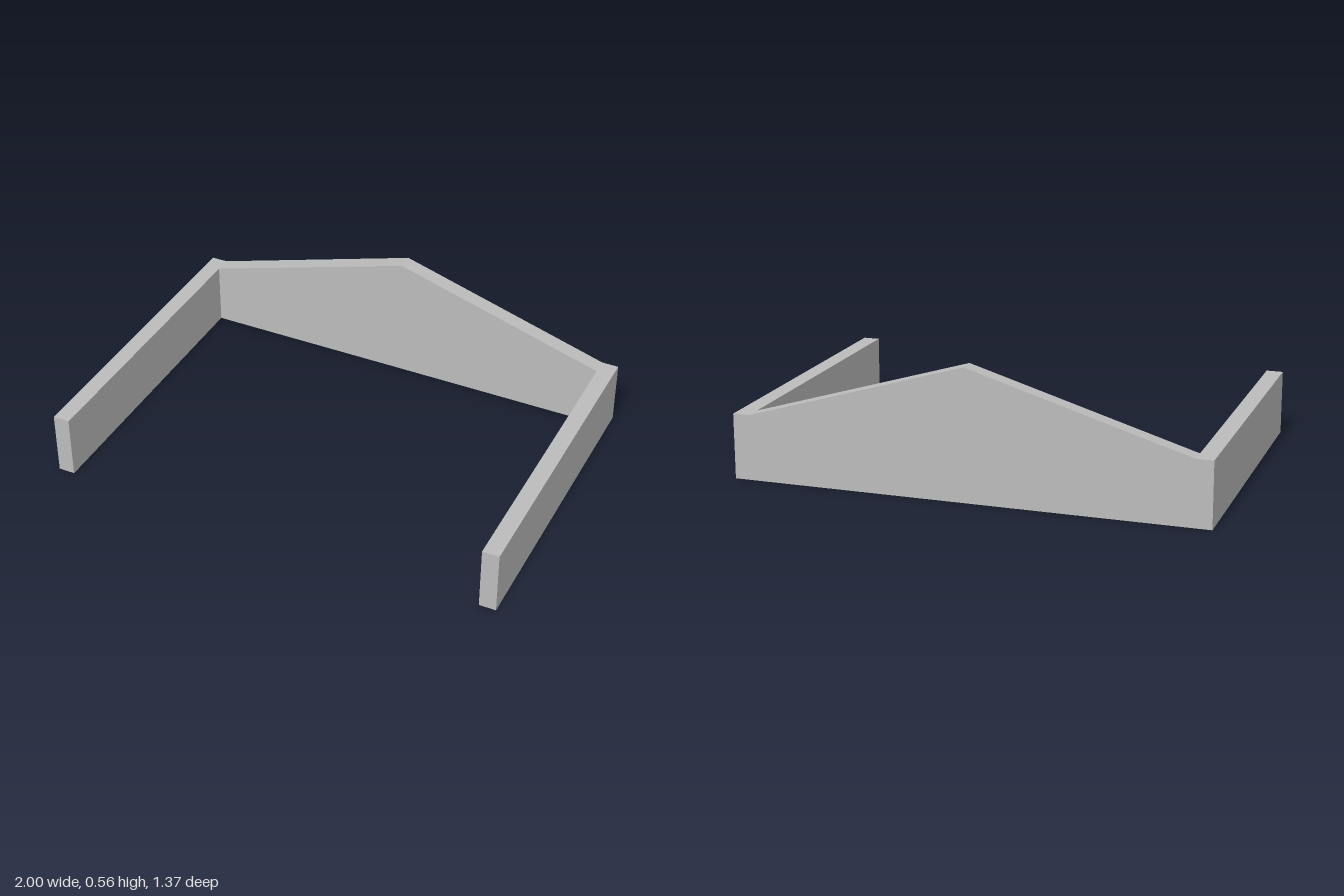
import * as THREE from 'three';

export function createModel() {
  const model = new THREE.Group();
  model.name = 'gabledEnclosure';

  // The walls are hollow shells with an open underside
  const grey = new THREE.MeshStandardMaterial({ color: 0xbcbcbc, side: THREE.DoubleSide });
  grey.name = 'plain grey';

  const X = 1, XI = 0.928;        // outer and inner half widths
  const Z = 0.683, ZI = -0.611;   // outer depth, front of the gable wall
  const EAVE = 0.277, PEAK = 0.555;

  const add = (name, geometry) => {
    const mesh = new THREE.Mesh(geometry, grey);
    mesh.name = name;
    model.add(mesh);
    return mesh;
  };

  // Four corners, counter-clockwise as seen from outside
  const quad = (name, corners) => {
    const geometry = new THREE.BufferGeometry();
    geometry.setAttribute('position', new THREE.Float32BufferAttribute(corners.flat(), 3));
    geometry.setIndex([0, 1, 2, 0, 2, 3]);
    geometry.computeVertexNormals();
    return add(name, geometry);
  };

  const outline = (points) => new THREE.Shape(points.map(([x, y]) => new THREE.Vector2(x, y)));

  // Gable wall, back skin with square shoulders
  const back = add('gableBack', new THREE.ShapeGeometry(outline([
    [-X, 0], [X, 0], [X, EAVE], [XI, EAVE], [0, PEAK], [-XI, EAVE], [-X, EAVE],
  ])));
  back.rotation.y = Math.PI;
  back.position.z = -Z;

  // Gable wall, front skin with a flush central panel
  const panel = [[-0.185, 0.212], [0.185, 0.212], [0.185, 0.42], [-0.185, 0.42]];
  const front = outline([[-XI, 0], [XI, 0], [XI, EAVE], [0, PEAK], [-XI, EAVE]]);
  front.holes.push(outline(panel));
  add('gableFront', new THREE.ShapeGeometry(front)).position.z = ZI;
  add('gablePanel', new THREE.ShapeGeometry(outline(panel))).position.z = ZI;

  // Side walls and sloping gable tops, mirrored
  for (const [side, s] of [['left', 1], ['right', -1]]) {
    const mirrored = (part, corners) => {
      const points = corners.map(([x, y, z]) => [s * x, y, z]);
      quad(side + part, s > 0 ? points : points.reverse());
    };
    mirrored('WallOuter', [[X, 0, Z], [X, 0, -Z], [X, EAVE, -Z], [X, EAVE, Z]]);
    mirrored('WallInner', [[XI, 0, ZI], [XI, 0, Z], [XI, EAVE, Z], [XI, EAVE, ZI]]);
    mirrored('WallEnd', [[XI, 0, Z], [X, 0, Z], [X, EAVE, Z], [XI, EAVE, Z]]);
    mirrored('WallTop', [[XI, EAVE, Z], [X, EAVE, Z], [X, EAVE, -Z], [XI, EAVE, -Z]]);
    mirrored('GableSlope', [[0, PEAK, ZI], [XI, EAVE, ZI], [XI, EAVE, -Z], [0, PEAK, -Z]]);
  }

  return model;
}
